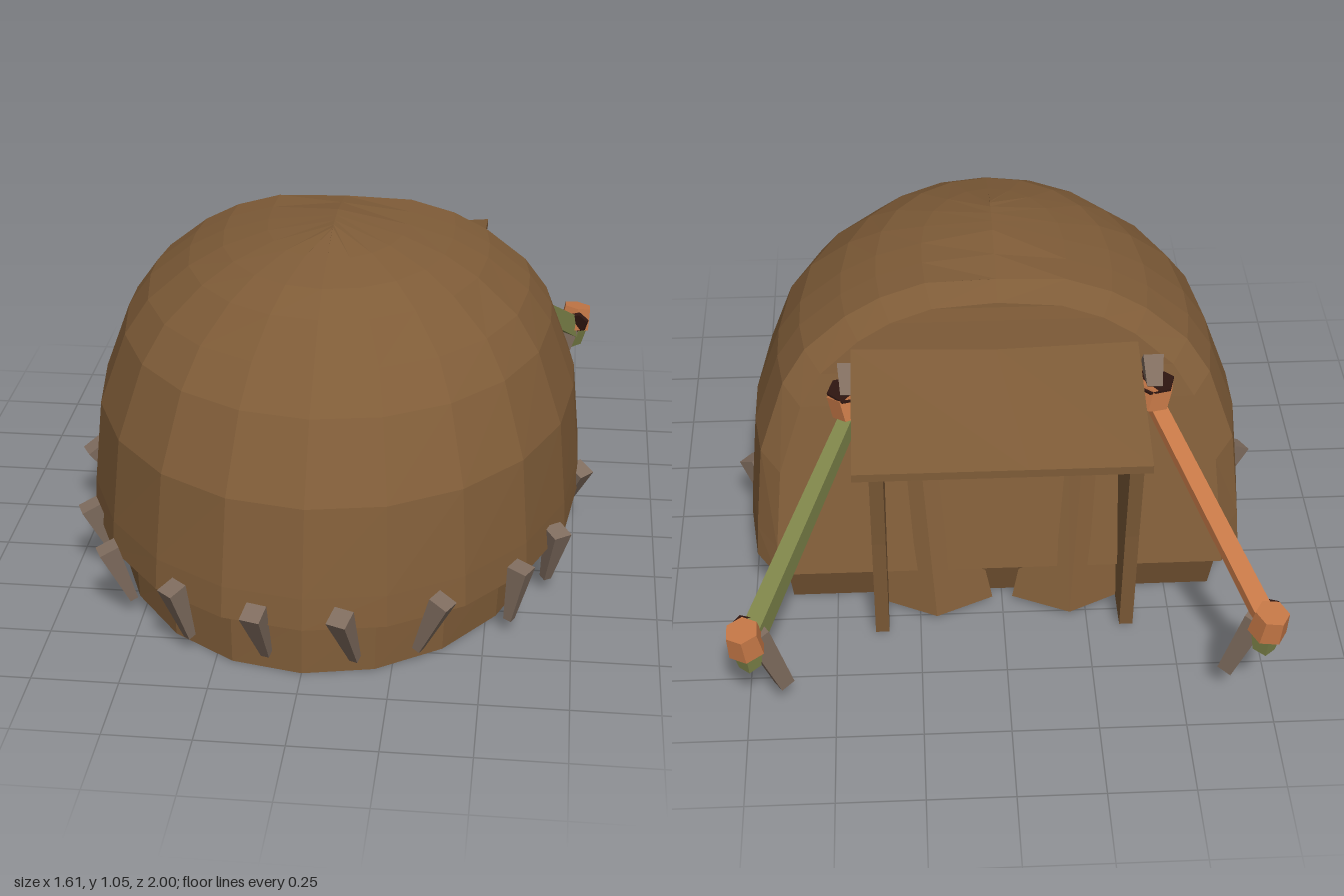
import * as THREE from 'three';

const mat = (name, color, side = THREE.FrontSide) =>
  Object.assign(new THREE.MeshStandardMaterial({ color, side }), { name });

// Flat-shaded surface lofted through rows of [x, y, z] points
function loft(rows, closed = false) {
  const n = rows[0].length, idx = [];
  for (let r = 0; r < rows.length - 1; r++) {
    for (let i = 0; i < (closed ? n : n - 1); i++) {
      const a = r * n + i, b = r * n + (i + 1) % n, c = a + n, d = b + n;
      idx.push(a, c, b, b, c, d);
    }
  }
  const g = new THREE.BufferGeometry();
  g.setAttribute('position', new THREE.Float32BufferAttribute(rows.flat(2), 3));
  g.setIndex(idx);
  return flat(g);
}

function flat(g) {
  const f = g.index ? g.toNonIndexed() : g;
  f.computeVertexNormals();
  return f;
}

// Plan outline of the tent: rounded at the front, almost straight towards the back
function outline([y, w, zf, zb]) {
  const pts = [[w * 0.97, y, zb], [w, y, zb * 0.5]];
  for (let i = 0; i <= 10; i++) {
    const t = (i / 10) * Math.PI;
    pts.push([w * Math.cos(t), y, zf * Math.sin(t)]);
  }
  pts.push([-w, y, zb * 0.5], [-w * 0.97, y, zb]);
  return pts;
}

// Tapered bar between two points; depth scales its upright thickness
function bar(from, to, w0, w1, sides = 4, depth = 1) {
  const a = new THREE.Vector3(...from), b = new THREE.Vector3(...to);
  const dir = b.clone().sub(a);
  const g = new THREE.CylinderGeometry(w1 * 0.7, w0 * 0.7, dir.length(), sides);
  g.rotateY(Math.PI / 4).scale(1, 1, depth).rotateY(Math.atan2(dir.x, dir.z));
  g.applyQuaternion(new THREE.Quaternion().setFromUnitVectors(
    new THREE.Vector3(0, 1, 0), dir.normalize()));
  const m = a.add(b).multiplyScalar(0.5);
  g.translate(m.x, m.y, m.z);
  return flat(g);
}

export function createModel() {
  const group = new THREE.Group();
  const hide = mat('brown hide', 0x7f5c38, THREE.DoubleSide);
  const peg = mat('grey wood', 0x806d5f);
  const green = mat('green pole', 0x7d8349);
  const orange = mat('orange binding', 0xc47746);
  const dark = mat('dark knot', 0x2e1510);
  const add = (name, geometry, material) => {
    const mesh = new THREE.Mesh(geometry, material);
    mesh.name = name;
    group.add(mesh);
    return mesh;
  };

  // Domed cover, each level: height, half width, front z, back z
  const levels = [
    [0.17, 0.75, 0.945, -0.39], [0.26, 0.745, 0.93, -0.37], [0.51, 0.722, 0.875, -0.32],
    [0.72, 0.645, 0.745, -0.275], [0.82, 0.575, 0.635, -0.25], [0.92, 0.45, 0.525, -0.232],
    [0.975, 0.345, 0.43, -0.222], [1.015, 0.21, 0.3, -0.212], [1.055, 0, 0.16, -0.21],
  ];
  const shift = 0.008;
  const cover = levels.map(outline);
  for (const p of cover[8]) if (p[2] < 0) p[1] += p[2] * 0.16;
  add('cover', loft(cover).translate(shift, 0, 0), hide);

  // Skirt and inner lining
  add('skirt', loft([
    [0, 0.655, 0.895, -0.39], [0.16, 0.665, 0.89, -0.45], [0.5, 0.62, 0.81, -0.35],
    [0.78, 0.49, 0.55, -0.25], [0.95, 0.2, 0.25, -0.2],
  ].map(outline), true), hide);

  // Back arch: bevelled rim and flat end panel
  const outer = levels.map(([y, w, , zb]) => [w * 0.97, Math.min(y, 1.021), zb]);
  const inner = levels.map(([y, w, , zb]) =>
    [w * 0.89, 0.155 + (Math.min(y, 1.03) - 0.17) * 0.95, zb - 0.05 - 0.04 * Math.max(0, 1 - y)]);
  const mirror = ([x, y, z]) => [-x, y, z];
  const arch = (side) => [...side, ...side.slice(0, -1).reverse().map(mirror)];
  add('backRim', loft([arch(outer), arch(inner)]).translate(shift, 0, 0), hide);
  add('backPanel', loft(inner.map((p) => [mirror(p), p])).translate(shift, 0, 0), hide);

  // Porch roof with a shallow dip along the middle
  const roofRow = (dy) => [
    [[-0.4, 0.845 + dy, -0.29], [0.015, 0.835 + dy, -0.28], [0.43, 0.845 + dy, -0.29]],
    [[-0.4, 0.755 + dy, -0.757], [-0.06, 0.725 + dy, -0.72], [0.43, 0.755 + dy, -0.757]],
  ];
  const [t0, t1] = roofRow(0), [b0, b1] = roofRow(-0.025);
  add('porchRoof', loft([
    [...t0, ...b0.reverse()], [...t1, ...b1.reverse()],
  ], true), hide);
  add('porchRoofEdge', loft([roofRow(0)[1], roofRow(-0.025)[1]]), hide);

  // Porch side walls
  const wall = new THREE.Shape([
    [0.28, 0.825], [0.69, 0.745], [0.635, 0.4], [0.585, 0.015], [0.4, 0.01],
  ].map(([x, y]) => new THREE.Vector2(x, y)));
  for (const s of [1, -1]) {
    const g = new THREE.ExtrudeGeometry(wall, { depth: 0.04, bevelEnabled: false });
    g.translate(0, 0, -0.02).rotateY(Math.PI / 2).translate(s * 0.365, 0, 0);
    add('porchWall', g, hide);

    // Door curtain, gathered at the top and spreading to the ground
    add('doorCurtain', loft([
      [[0.33, 0.8, -0.3], [0.26, 0.8, -0.33], [0.2, 0.8, -0.3]],
      [[0.36, 0.02, -0.45], [0.2, 0.02, -0.53], [0.03, 0.02, -0.45]],
    ].map((row) => row.map(([x, y, z]) => [s * x, y, z]))), hide);

    // Upper binding, knot and peg of the guy pole
    add('upperBinding', bar([s * 0.43, 0.69, -0.38], [s * 0.445, 0.755, -0.37], 0.085, 0.085, 6), orange);
    add('upperKnot', bar([s * 0.44, 0.755, -0.37], [s * 0.44, 0.762, -0.37], 0.09, 0.09, 6), dark);
    add('upperPeg', bar([s * 0.44, 0.75, -0.39], [s * 0.44, 0.81, -0.32], 0.045, 0.06), peg);

    // Lower binding with a dark inner face, knot and ground stake
    const x = s > 0 ? 0.74 : -0.722;
    add('lowerBinding', bar([x - s * 0.005, 0.3, -0.94], [x + s * 0.005, 0.375, -0.95], 0.08, 0.07, 6), orange);
    add('lowerKnotFace', bar([x, 0.333, -0.898], [x, 0.331, -0.89], 0.065, 0.055, 6), dark);
    add('lowerKnot', bar([x - s * 0.01, 0.235, -0.945], [x - s * 0.005, 0.3, -0.94], 0.045, 0.065), green);
    add('guyStake', bar([x - s * 0.095, 0.1, -0.87], [x - s * 0.025, 0.335, -0.915], 0.045, 0.065), peg);
  }

  // Guy poles: a square one and a flatter one
  add('leftGuyPole', bar([0.435, 0.68, -0.38], [0.73, 0.305, -0.93], 0.042, 0.055, 4, 1.25), green);
  add('rightGuyPole', bar([-0.435, 0.71, -0.38], [-0.715, 0.335, -0.94], 0.05, 0.06, 4, 0.5), orange);

  // Pegs around the hem: head x, head z, foot x, foot z
  const pegs = [
    [0.115, 0.965, 0.15, 0.88], [0.39, 0.845, 0.32, 0.81], [0.6, 0.635, 0.57, 0.62],
    [0.7, 0.41, 0.67, 0.37], [0.765, 0.005, 0.7, -0.05],
    [-0.125, 0.965, -0.1, 0.88], [-0.37, 0.855, -0.33, 0.81], [-0.595, 0.65, -0.53, 0.62],
    [-0.7, 0.4, -0.63, 0.37], [-0.77, 0.005, -0.67, -0.05],
  ];
  for (const [hx, hz, fx, fz] of pegs) {
    add('hemPeg', bar([fx, 0.05, fz], [hx, 0.23, hz], 0.025, 0.06), peg);
  }
  return group;
}
